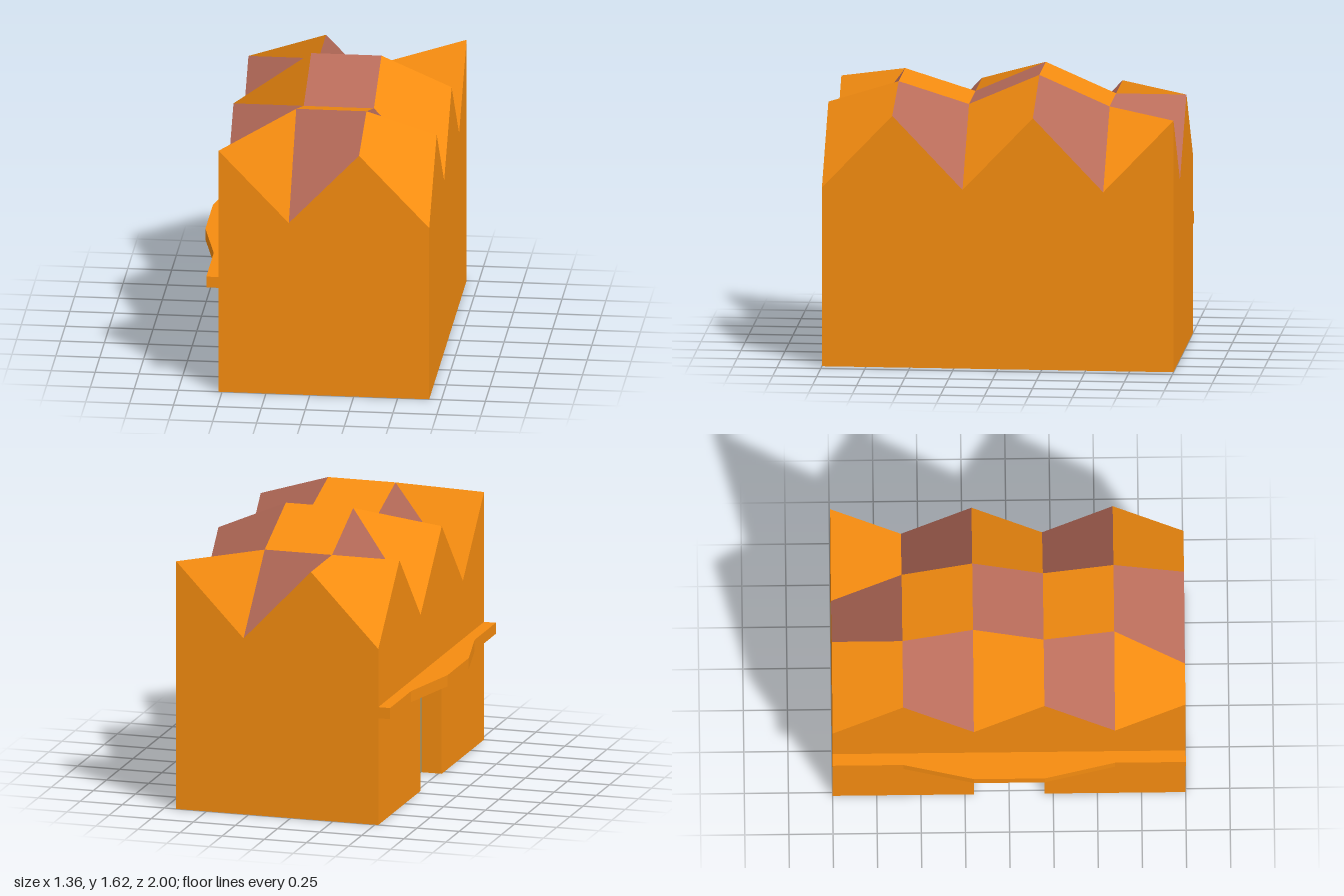
import * as THREE from 'three';
import { mergeGeometries } from 'three/addons/utils/BufferGeometryUtils.js';

const X = [-0.52, -0.12, 0.28, 0.68];
const Z = [1, 0.6, 0.2, -0.2, -0.6, -1];
const RIDGE = [0, 1.575, 1.45, 1.625, 1.45, 0]; // inner roof height of each row
const HIGH = 1.45, LOW = 1.03;
const LEDGE_Y = 0.625, LEDGE_TOP = 0.69;

// Roof height at grid node (i across, j front to back): zigzag rim, ridged inside
function height(i, j) {
  const rim = i === 0 || i === 3 || j === 0 || j === 5;
  if (!rim) return RIDGE[j];
  return (i + j) % 2 === 0 ? HIGH : LOW;
}
const node = (i, j) => new THREE.Vector3(X[i], height(i, j), Z[j]);

// One roof facet, shaded with a single normal
function facet(i, j) {
  const p = [node(i, j), node(i + 1, j), node(i + 1, j + 1), node(i, j + 1)];
  const n = p[2].clone().sub(p[0]).cross(p[3].clone().sub(p[1])).normalize();
  const g = new THREE.BufferGeometry();
  g.setAttribute('position', new THREE.Float32BufferAttribute(p.flatMap(v => v.toArray()), 3));
  g.setAttribute('normal', new THREE.Float32BufferAttribute(p.flatMap(() => n.toArray()), 3));
  g.setIndex([0, 1, 2, 0, 2, 3]);
  return g;
}

// Upright sheet following a plan path of [x, z] points
function strip(path, y0, y1) {
  const pos = [];
  for (let k = 0; k < path.length - 1; k++) {
    const [ax, az] = path[k], [bx, bz] = path[k + 1];
    pos.push(ax, y0, az, bx, y0, bz, bx, y1, bz, ax, y0, az, bx, y1, bz, ax, y1, az);
  }
  const g = new THREE.BufferGeometry();
  g.setAttribute('position', new THREE.Float32BufferAttribute(pos, 3));
  g.computeVertexNormals();
  return g;
}

const outline = pts => new THREE.ShapeGeometry(new THREE.Shape(pts.map(p => new THREE.Vector2(...p))));

// Wall with a zigzag top given as [u, y] points from left to right
function zigzagWall(top, base = 0) {
  const last = top[top.length - 1];
  return outline([[top[0][0], base], [last[0], base], ...[...top].reverse()]);
}

export function createModel() {
  const group = new THREE.Group();
  const paint = color => new THREE.MeshStandardMaterial({ color, side: THREE.DoubleSide });
  const orange = paint(0xf58c10), pink = paint(0xb86c5a), blue = paint(0x769ea3);
  const add = (name, geometry, material) => {
    const mesh = new THREE.Mesh(geometry, material);
    mesh.name = name;
    group.add(mesh);
  };

  // Checkered folded roof
  const cells = [[], []];
  for (let i = 0; i < 3; i++)
    for (let j = 0; j < 5; j++) cells[(i + j) % 2].push(facet(i, j));
  add('roofOrangeFacets', mergeGeometries(cells[0]), orange);
  add('roofPinkFacets', mergeGeometries(cells[1]), pink);

  // Zigzag-topped walls
  add('frontWall', zigzagWall(X.map((x, i) => [x, height(i, 0)])).translate(0, 0, 1), orange);
  add('backWall', zigzagWall(X.map((x, i) => [-x, height(i, 5)]).reverse())
    .rotateY(Math.PI).translate(0, 0, -1), orange);
  add('plainSideWall', zigzagWall(Z.map((z, j) => [-z, height(3, j)]))
    .rotateY(Math.PI / 2).translate(X[3], 0, 0), orange);
  add('entranceUpperWall', zigzagWall(Z.map((z, j) => [z, height(0, j)]).reverse(), LEDGE_TOP)
    .rotateY(-Math.PI / 2).translate(X[0], 0, 0), orange);

  // Lower entrance wall with its recessed doorway
  add('entranceLowerWall', mergeGeometries([
    strip([[X[0], -1], [X[0], -0.2], [-0.4, -0.2]], 0, LEDGE_Y),
    strip([[-0.4, 0.2], [X[0], 0.2], [X[0], 1]], 0, LEDGE_Y),
  ]), orange);
  add('door', strip([[-0.4, -0.2], [-0.4, 0.2]], 0, LEDGE_Y), blue);

  // Canopy ledge that bulges over the door, open towards the inside
  const edge = [[X[0], -1], [-0.59, -1], [-0.59, -0.6], [-0.68, -0.2],
    [-0.68, 0.2], [-0.59, 0.6], [-0.59, 1], [X[0], 1]];
  const doorway = [[X[0], 0.2], [-0.4, 0.2], [-0.4, -0.2], [X[0], -0.2]];
  add('canopyRim', strip(edge, LEDGE_Y, LEDGE_TOP), orange);
  add('canopyTop', outline(edge).rotateX(-Math.PI / 2).translate(0, LEDGE_TOP, 0), orange);
  add('canopyUnderside', outline([...edge, ...doorway])
    .rotateX(Math.PI / 2).translate(0, LEDGE_Y, 0), orange);

  return group;
}
